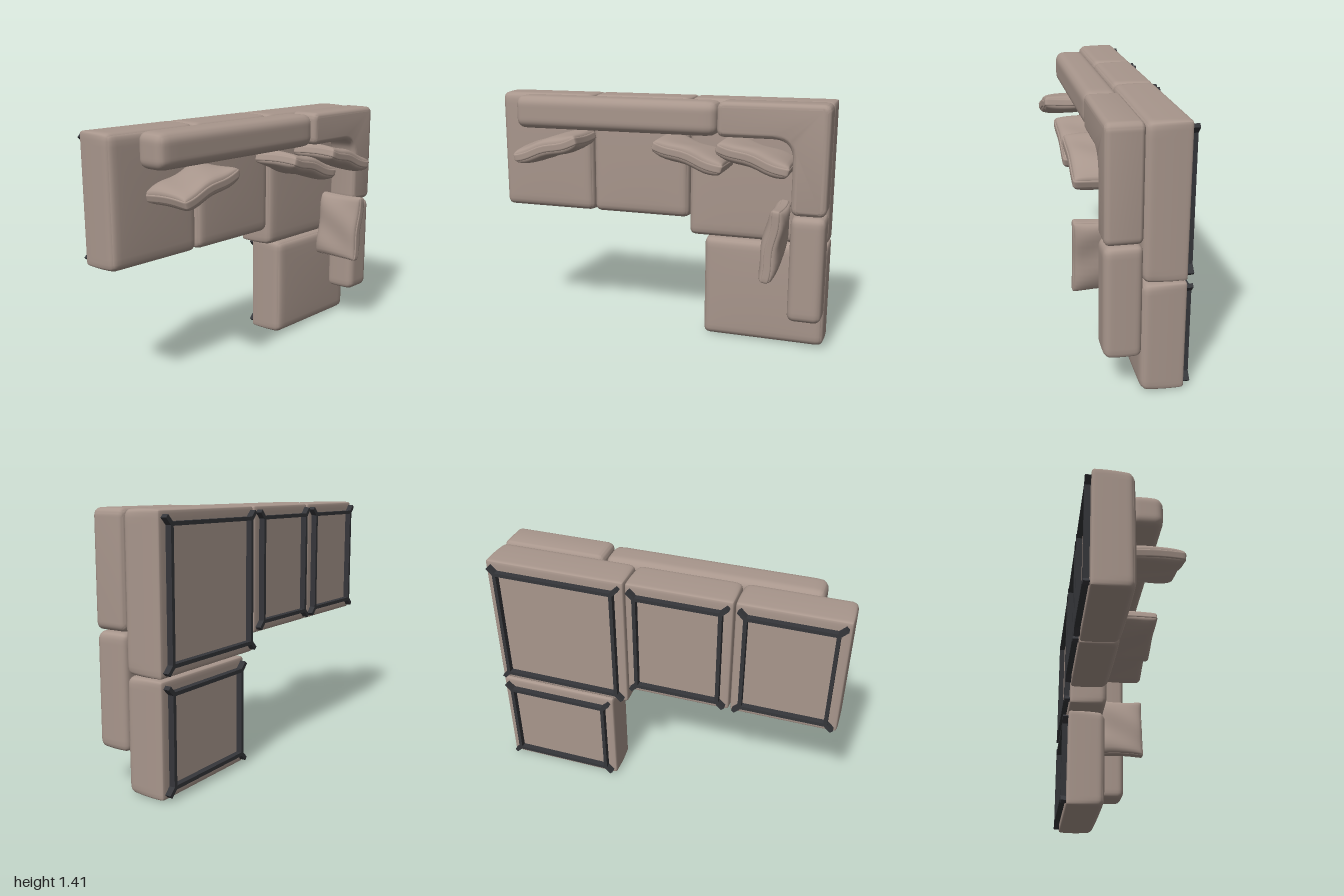
import * as THREE from 'three';
import { mergeVertices, toCreasedNormals } from 'three/addons/utils/BufferGeometryUtils.js';

const fabric = new THREE.MeshStandardMaterial({ color: 0xa8968c });
const metal = new THREE.MeshStandardMaterial({ color: 0x35363a });

// Subdivided box whose vertices are moved by a rule, then smoothed.
function shapedBox(w, h, d, segs, rule) {
  let g = new THREE.BoxGeometry(2, 2, 2, segs, segs, segs);
  g.deleteAttribute('uv');
  g.deleteAttribute('normal');
  g = mergeVertices(g);
  const pos = g.attributes.position;
  const p = new THREE.Vector3();
  const half = new THREE.Vector3(w / 2, h / 2, d / 2);
  const ease = (t) => Math.sin(t * Math.PI / 2); // denser rows near the edges
  for (let i = 0; i < pos.count; i++) {
    p.fromBufferAttribute(pos, i);
    p.set(ease(p.x), ease(p.y), ease(p.z));
    const u = p.clone();
    p.multiply(half);
    rule(p, u, half);
    pos.setXYZ(i, p.x, p.y, p.z);
  }
  g.computeVertexNormals();
  return g;
}

// Rounds the edges of a box point by radius r.
function roundEdges(p, half, r) {
  const inner = half.clone().subScalar(r);
  const q = p.clone().clamp(inner.clone().negate(), inner);
  const n = p.clone().sub(q);
  if (n.lengthSq() > 1e-12) p.copy(q).addScaledVector(n.normalize(), r);
}

// Upholstered block between two corners; rBack / rFront are the edge radii along z.
function cushion(name, x0, x1, y0, y1, z0, z1, { rBack = 0.03, rFront = 0.04, crown = 0, bulge = 0.006 } = {}) {
  const g = shapedBox(x1 - x0 - 2 * bulge, y1 - y0 - 2 * bulge, z1 - z0, 20, (p, u, half) => {
    roundEdges(p, half, THREE.MathUtils.lerp(rBack, rFront, (u.z + 1) / 2));
    const sx = 1 - u.x ** 2, sy = 1 - u.y ** 2, sz = 1 - u.z ** 2;
    p.x += u.x * bulge * (0.4 + 0.6 * sz);
    p.y += u.y * bulge * (0.4 + 0.6 * sz);
    p.z += crown * Math.max(0, u.z) * Math.sqrt(sx * sy);
  });
  const mesh = new THREE.Mesh(g, fabric);
  mesh.name = name;
  mesh.position.set((x0 + x1) / 2, (y0 + y1) / 2, (z0 + z1) / 2);
  return mesh;
}

// Base frame: four inset bars with a diagonal foot at each corner.
function baseFrame(x0, x1, y0, y1) {
  const frame = new THREE.Group();
  frame.name = 'baseFrame';
  const w = x1 - x0, h = y1 - y0, inset = 0.058, bar = 0.02, depth = 0.035;
  const add = (name, sx, sy, x, y, rot = 0) => {
    const m = new THREE.Mesh(new THREE.BoxGeometry(sx, sy, depth), metal);
    m.name = name;
    m.position.set(x, y, 0);
    m.rotation.z = rot;
    frame.add(m);
  };
  for (const s of [-1, 1]) {
    add('frameBar', w - 2 * inset, bar, 0, s * (h / 2 - inset));
    add('frameBar', bar, h - 2 * inset, s * (w / 2 - inset), 0);
    for (const t of [-1, 1]) {
      add('cornerFoot', 0.058, 0.022, s * (w / 2 - 0.042), t * (h / 2 - 0.042), s * t * Math.PI / 4);
    }
  }
  frame.position.set((x0 + x1) / 2, (y0 + y1) / 2, -0.2655);
  return frame;
}

// Corner backrest: an L outline with a curved inner corner.
function cornerBack() {
  const xl = 0.39, xr = 0.995, yb = 0.815, yt = 1.412, xi = 0.805, yi = 1.222, r = 0.045, f = 0.11;
  const s = new THREE.Shape();
  s.moveTo(xl + r, yi);
  s.lineTo(xi - f, yi);
  s.quadraticCurveTo(xi, yi, xi, yi - f);
  s.lineTo(xi, yb + r);
  s.quadraticCurveTo(xi, yb, xi + r, yb);
  s.lineTo(xr - r, yb);
  s.quadraticCurveTo(xr, yb, xr, yb + r);
  s.lineTo(xr, yt - r);
  s.quadraticCurveTo(xr, yt, xr - r, yt);
  s.lineTo(xl + r, yt);
  s.quadraticCurveTo(xl, yt, xl, yt - r);
  s.lineTo(xl, yi + r);
  s.quadraticCurveTo(xl, yi, xl + r, yi);
  const b = 0.03;
  const g = new THREE.ExtrudeGeometry(s, {
    depth: 0.19 - 2 * b, bevelThickness: b, bevelSize: b, bevelOffset: -b, bevelSegments: 6, curveSegments: 10,
  });
  const mesh = new THREE.Mesh(toCreasedNormals(g, 0.6), fabric);
  mesh.name = 'cornerBackrest';
  mesh.position.z = -0.03 + b;
  return mesh;
}

// Throw pillow: full in the middle, thinner and slightly pinched at the border.
function pillow(x, y, angle) {
  const g = shapedBox(0.41, 0.11, 0.31, 16, (p, u, half) => {
    const edge = Math.max(0, (1 - u.x ** 4) * (1 - u.z ** 4));
    roundEdges(p, half, 0.02);
    p.y *= 0.42 + 0.58 * Math.sqrt(edge);
    p.x *= 1 - 0.03 * (1 - u.z ** 2);
    p.z *= 1 - 0.03 * (1 - u.x ** 2);
    p.y += 0.006 * Math.sin(5 * u.x + 2 * u.z); // soft crumple
  });
  const mesh = new THREE.Mesh(g, fabric);
  mesh.name = 'throwPillow';
  mesh.position.set(x, y, 0.122);
  mesh.rotation.z = THREE.MathUtils.degToRad(angle);
  return mesh;
}

export function createModel() {
  const sofa = new THREE.Group();
  sofa.name = 'sectionalSofa';

  // Seat modules, each on its own base frame: x0, x1, y0, y1
  const seats = [
    [-1, -0.408, 0.708, 1.41],
    [-0.405, 0.187, 0.708, 1.41],
    [0.19, 0.995, 0.61, 1.41],
    [0.285, 0.995, 0.006, 0.606],
  ];
  for (const [x0, x1, y0, y1] of seats) {
    sofa.add(cushion('seat', x0, x1, y0, y1, -0.25, -0.027, { rBack: 0.014, rFront: 0.038, crown: 0.012 }));
    sofa.add(baseFrame(x0 + 0.005, x1 - 0.005, y0 + 0.005, y1 - 0.01));
  }

  // Backrests
  sofa.add(cushion('longBackrest', -0.822, 0.386, 1.218, 1.408, -0.03, 0.157, { rBack: 0.045, rFront: 0.05 }));
  sofa.add(cornerBack());
  sofa.add(cushion('sideBackrest', 0.805, 0.995, 0.21, 0.81, -0.03, 0.163, { rBack: 0.03, rFront: 0.04 }));

  // Pillows
  sofa.add(pillow(-0.58, 1.12, 16), pillow(0.258, 1.12, -17), pillow(0.612, 1.125, -17), pillow(0.723, 0.663, 82));
  return sofa;
}
